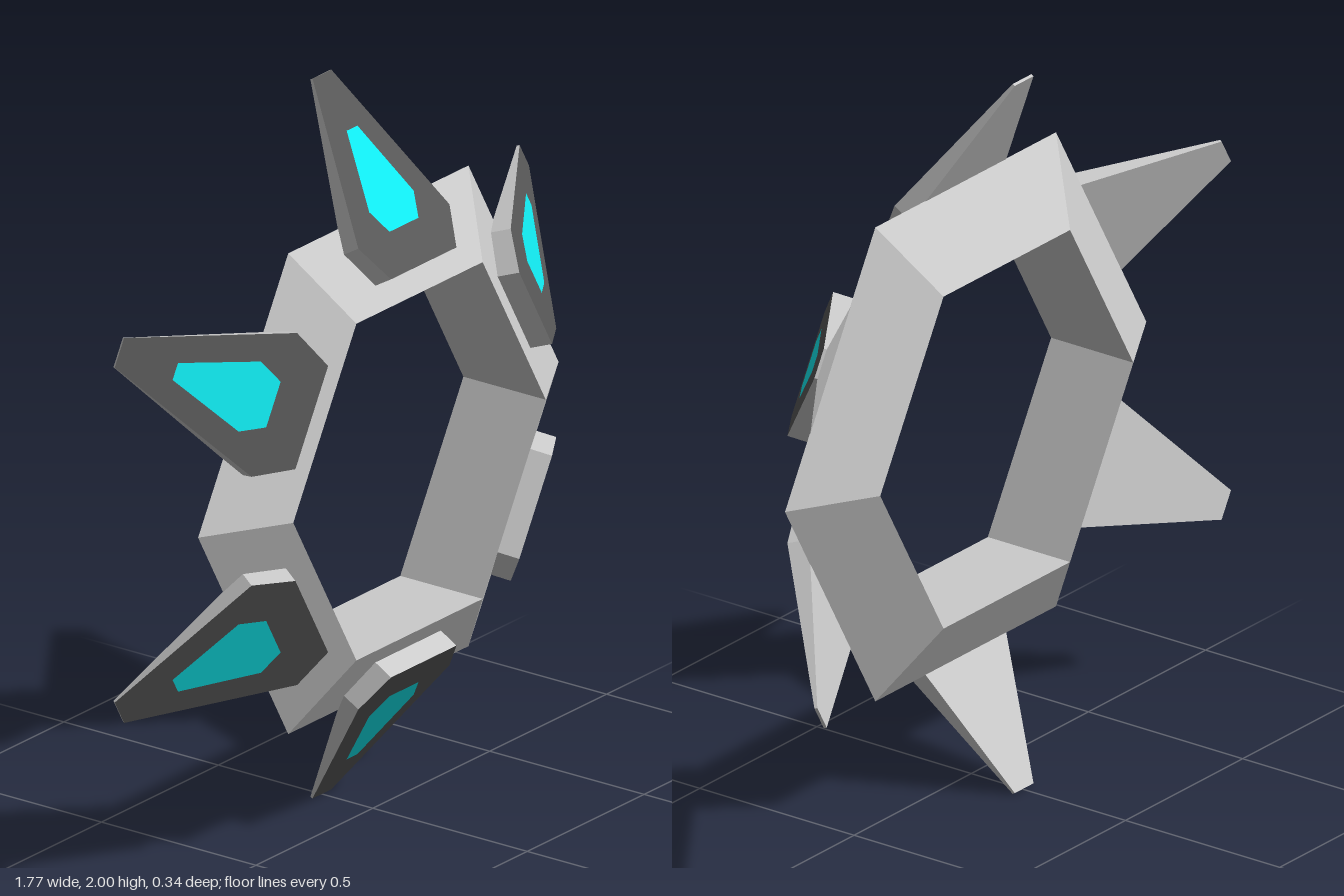
import * as THREE from 'three';

const grey = new THREE.MeshStandardMaterial({ color: 0xcccccc, flatShading: true });
const dark = new THREE.MeshStandardMaterial({ color: 0x585858, flatShading: true });
const cyan = new THREE.MeshStandardMaterial({ color: 0x11ecf2, flatShading: true });

// Convex polygons (counter-clockwise from outside) turned into fans of triangles
function polygons(faces) {
  const pos = [];
  for (const f of faces) {
    for (let i = 1; i < f.length - 1; i++) {
      for (const p of [f[0], f[i], f[i + 1]]) pos.push(...p);
    }
  }
  const g = new THREE.BufferGeometry();
  g.setAttribute('position', new THREE.Float32BufferAttribute(pos, 3));
  g.computeVertexNormals();
  return g;
}

// Mirrored six-sided outline on the leaning front plane of a spike
function outline(base, wide, tip, lift = 0) {
  const at = (x, y) => [x, y, 0.165 - (y - 0.553) * 0.738 + lift];
  return [
    at(-base[0], base[1]), at(base[0], base[1]), at(wide[0], wide[1]),
    at(tip[0], tip[1]), at(-tip[0], tip[1]), at(-wide[0], wide[1]),
  ];
}

function named(geometry, material, name) {
  const mesh = new THREE.Mesh(geometry, material);
  mesh.name = name;
  return mesh;
}

export function createModel() {
  const model = new THREE.Group();
  model.name = 'spikedRing';

  // Hexagonal ring with a triangular section
  const ring = named(new THREE.TorusGeometry(0.617, 0.154, 3, 6), grey, 'ring');
  ring.position.set(0, 1, 0.018);
  model.add(ring);

  // Spike: dark front plate, grey rim and back that thins towards the tip
  const front = outline([0.14, 0.553], [0.195, 0.64], [0.04, 1]);
  const thickness = [0.06, 0.06, 0.06, 0.008, 0.008, 0.06];
  const back = front.map(([x, y, z], i) => [x, y - 0.5 * thickness[i], z - 0.85 * thickness[i]]);
  const shell = front.map((p, i) => {
    const j = (i + 1) % 6;
    return [p, back[i], back[j], front[j]];
  });
  shell.push([back[0], back[5], back[2], back[1]], [back[5], back[4], back[3], back[2]]);

  const shellGeometry = polygons(shell);
  const plateGeometry = polygons([front]);
  const gemGeometry = polygons([outline([0.062, 0.645], [0.095, 0.70], [0.023, 0.873], 0.004)]);

  // Six spikes around the ring
  for (let i = 0; i < 6; i++) {
    const spike = new THREE.Group();
    spike.name = `spike${i + 1}`;
    spike.add(
      named(shellGeometry, grey, 'spikeShell'),
      named(plateGeometry, dark, 'spikePlate'),
      named(gemGeometry, cyan, 'spikeGem'),
    );
    spike.position.y = 1;
    spike.rotation.z = (i * Math.PI) / 3;
    model.add(spike);
  }
  return model;
}
